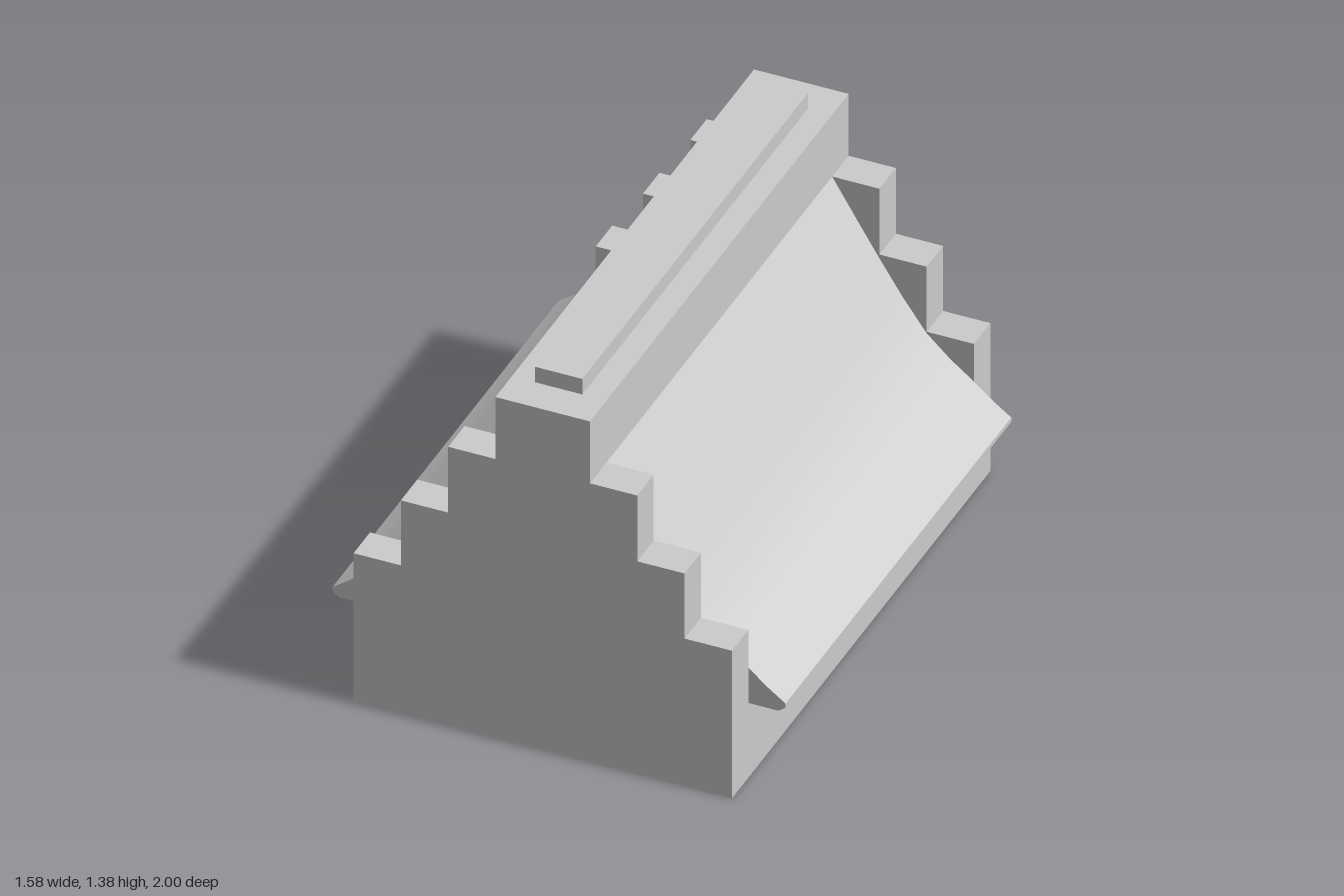
import * as THREE from 'three';

const END = 1;       // outer face of the gables (z)
const INNER = 0.873; // inner face of the gables (z)
const EAVE_Y = 0.29; // underside of the roof

const material = new THREE.MeshStandardMaterial({ color: 0xcccccc, side: THREE.DoubleSide });

// Right half of the stepped gable, bottom to top
const STEPS = [
  [0.66, 0.573], [0.495, 0.573], [0.495, 0.825], [0.33, 0.825],
  [0.33, 1.08], [0.165, 1.08], [0.165, 1.32],
];
// Concave roof slope, eave to ridge
const SLOPE = [
  [0.79, 0.325], [0.725, 0.372], [0.66, 0.427], [0.578, 0.49], [0.495, 0.567],
  [0.412, 0.682], [0.33, 0.81], [0.248, 0.943], [0.165, 1.08],
];
const EAVE = [[0.765, EAVE_Y], [0.79, 0.308], [0.79, 0.325]];

const mirror = (pts) => pts.map(([x, y]) => [-x, y]).reverse();
const bothSides = (pts) => [...pts, ...mirror(pts)];

function add(parent, name, geometry) {
  const mesh = new THREE.Mesh(geometry, material);
  mesh.name = name;
  parent.add(mesh);
  return mesh;
}

// Open strip following a profile in x/y, stretched from z0 to z1
function ribbon(pts, z0, z1, smooth = false) {
  const pos = [], index = [];
  pts.forEach(([x, y]) => pos.push(x, y, z0, x, y, z1));
  for (let i = 0; i < pts.length - 1; i++) {
    const a = i * 2;
    index.push(a, a + 2, a + 1, a + 1, a + 2, a + 3);
  }
  let g = new THREE.BufferGeometry();
  g.setAttribute('position', new THREE.Float32BufferAttribute(pos, 3));
  g.setIndex(index);
  if (!smooth) g = g.toNonIndexed();
  g.computeVertexNormals();
  return g;
}

// Flat face at depth z, turned to look along +z or -z
function face(pts, z, facing) {
  const g = new THREE.ShapeGeometry(new THREE.Shape(pts.map(([x, y]) => new THREE.Vector2(x, y))));
  if (facing < 0) {
    const ids = g.index.array;
    for (let i = 0; i < ids.length; i += 3) [ids[i], ids[i + 1]] = [ids[i + 1], ids[i]];
    g.computeVertexNormals();
  }
  return g.translate(0, 0, z);
}

export function createModel() {
  const model = new THREE.Group();
  model.name = 'steppedGableHouse';

  // Hollow lower walls, open at the bottom
  add(model, 'rightWall', ribbon([[0.66, 0], [0.66, EAVE_Y]], -END, END));
  add(model, 'leftWall', ribbon([[-0.66, EAVE_Y], [-0.66, 0]], -END, END));

  // Stepped gables at both ends
  const upper = bothSides([[0.66, EAVE_Y], ...STEPS]);
  const full = bothSides([[0.66, 0], ...STEPS]);
  for (const s of [1, -1]) {
    const gable = new THREE.Group();
    gable.name = s > 0 ? 'frontGable' : 'backGable';
    add(gable, 'gableSteps', ribbon(upper, Math.min(s * INNER, s * END), Math.max(s * INNER, s * END)));
    add(gable, 'gableOuterFace', face(full, s * END, s));
    add(gable, 'gableInnerFace', face(upper, s * INNER, -s));
    // Ends of the overhanging eaves
    const eaveEnd = [[0.66, EAVE_Y], ...EAVE, ...SLOPE.slice(1, 3)];
    add(gable, 'rightEaveEnd', face(eaveEnd, s * INNER, s));
    add(gable, 'leftEaveEnd', face(mirror(eaveEnd), s * INNER, s));
    model.add(gable);
  }

  // Concave roof slopes with blunt eave edges
  for (const [side, flip] of [['right', (p) => p], ['left', mirror]]) {
    add(model, side + 'RoofSlope', ribbon(flip(SLOPE), -INNER, INNER, true));
    add(model, side + 'EaveEdge', ribbon(flip(EAVE), -INNER, INNER));
  }
  add(model, 'roofUnderside', ribbon([[-0.765, EAVE_Y], [0.765, EAVE_Y]], -INNER, INNER));

  // Raised ridge between the gables, and its narrow cap
  add(model, 'ridge', ribbon(bothSides([[0.165, 1.08], [0.165, 1.32]]), -INNER, INNER));
  add(model, 'ridgeCap', new THREE.BoxGeometry(0.166, 0.06, 2 * INNER)).position.set(-0.002, 1.35, 0);

  model.position.x = -0.005;
  const root = new THREE.Group();
  root.name = 'house';
  root.add(model);
  return root;
}
